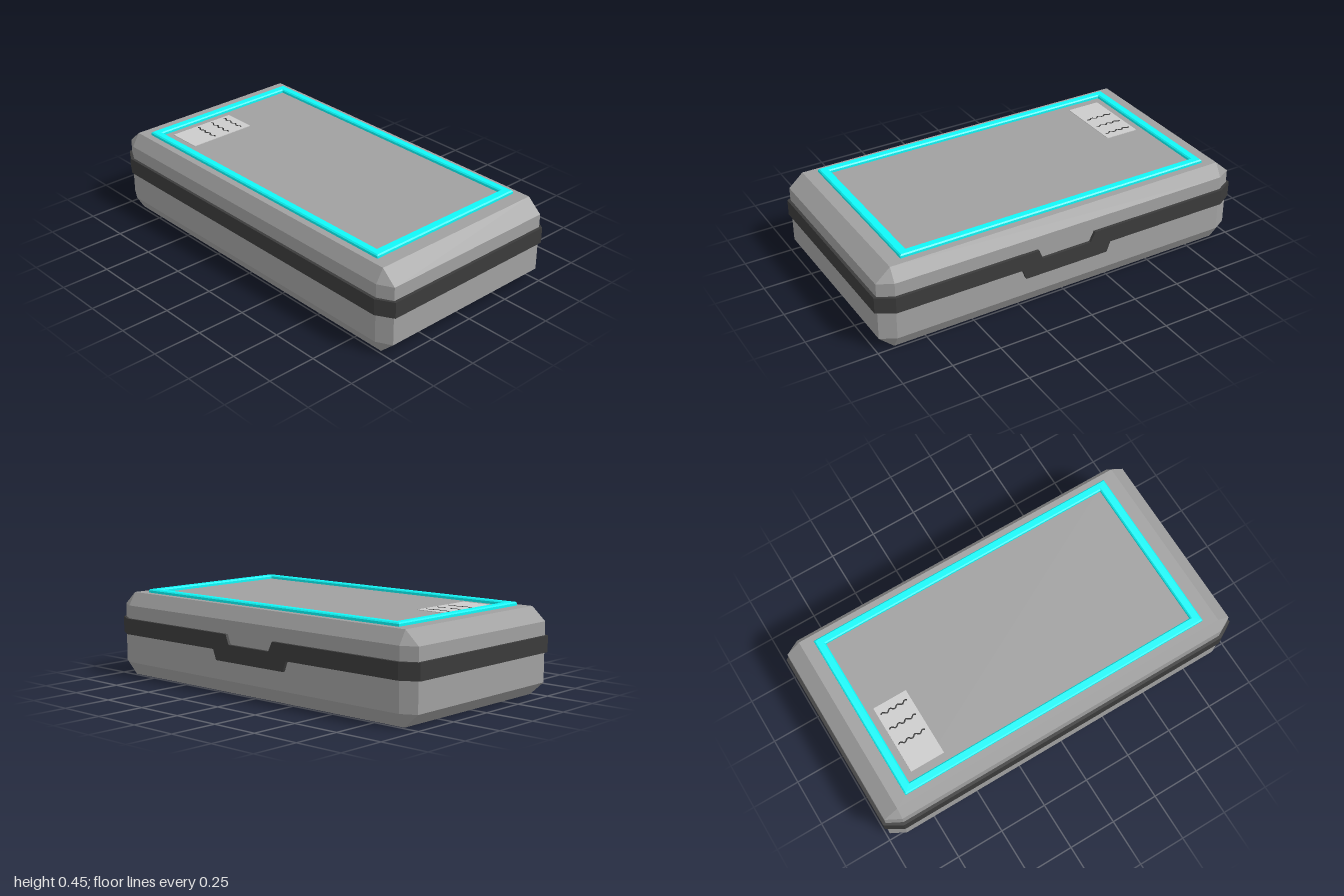
import * as THREE from 'three';
import { ConvexGeometry } from 'three/addons/geometries/ConvexGeometry.js';

const mat = (color) => new THREE.MeshStandardMaterial({ color });
const points = (list) => list.map(([x, y]) => new THREE.Vector2(x, y));

function rectangle(x, z0, z1) {
  // Drawn as (x, -z) so that it can be laid flat
  return points([[-x, -z1], [x, -z1], [x, -z0], [-x, -z0]]);
}

export function createModel() {
  const group = new THREE.Group();
  const bodyMat = mat(0xa0a0a0);
  const bandMat = mat(0x3b3b3b);
  const trimMat = mat(0x10f8f8);
  const labelMat = mat(0xc4c4c4);
  const markMat = mat(0x303030);

  const add = (name, geometry, material, x = 0, y = 0, z = 0) => {
    const mesh = new THREE.Mesh(geometry, material);
    mesh.name = name;
    mesh.position.set(x, y, z);
    group.add(mesh);
    return mesh;
  };

  // Case body: a box with every edge and corner chamfered
  const corners = [];
  for (const sx of [-1, 1]) for (const sz of [-1, 1]) {
    for (const [x, y, z] of [
      [0.485, 0, 0.91], [0.525, 0.068, 0.91], [0.485, 0.068, 0.985],
      [0.525, 0.368, 0.91], [0.485, 0.368, 0.985], [0.485, 0.435, 0.91],
    ]) corners.push(new THREE.Vector3(sx * x, y, sz * z));
  }
  add('caseBody', new ConvexGeometry(corners), bodyMat);

  // Seam band around the case, open on the right for the catch
  const half = [[0.54, 0.3], [0.54, 0.915], [0.49, 1], [-0.49, 1], [-0.54, 0.915]];
  const halfInner = [[0.51, 0.3], [0.51, 0.9], [0.47, 0.97], [-0.47, 0.97], [-0.51, 0.9]];
  const around = (pts) => [...pts, ...pts.map(([x, y]) => [x, -y]).reverse()];
  const bandShape = new THREE.Shape(points([...around(half), ...around(halfInner).reverse()]));
  const bandGeo = new THREE.ExtrudeGeometry(bandShape, { depth: 0.082, bevelEnabled: false });
  bandGeo.rotateX(-Math.PI / 2);
  add('seamBand', bandGeo, bandMat, 0, 0.218, 0);

  // Stepped catch, drawn in z and y, closing the band
  const catchShape = new THREE.Shape(points([
    [-0.3, 0.218], [-0.24, 0.218], [-0.22, 0.165], [0.235, 0.165], [0.255, 0.218], [0.3, 0.218],
    [0.3, 0.3], [0.165, 0.3], [0.145, 0.25], [-0.125, 0.25], [-0.15, 0.3], [-0.3, 0.3],
  ]));
  const catchGeo = new THREE.ExtrudeGeometry(catchShape, { depth: 0.03, bevelEnabled: false });
  catchGeo.rotateY(-Math.PI / 2);
  add('catch', catchGeo, bandMat, 0.54, 0, 0);

  // Bevelled trim frame on the lid
  const frame = new THREE.Shape(rectangle(0.45, -0.845, 0.84));
  frame.holes.push(new THREE.Path(rectangle(0.408, -0.8, 0.793).reverse()));
  const frameGeo = new THREE.ExtrudeGeometry(frame, {
    depth: 0.016, bevelThickness: 0.006, bevelSize: 0.006, bevelOffset: -0.006, bevelSegments: 1,
  });
  frameGeo.rotateX(-Math.PI / 2);
  add('trimFrame', frameGeo, trimMat, 0, 0.431, 0);

  // Lid label with wavy lines
  add('label', new THREE.BoxGeometry(0.365, 0.006, 0.18), labelMat, -0.183, 0.435, -0.675);
  const wave = [];
  for (let i = 0; i <= 28; i++) {
    wave.push(new THREE.Vector3(0.006 * Math.sin(i * Math.PI / 4), 0, (i / 28 - 0.5) * 0.145));
  }
  const waveGeo = new THREE.TubeGeometry(new THREE.CatmullRomCurve3(wave), 56, 0.004, 6);
  waveGeo.scale(1, 0.4, 1);
  for (const x of [-0.22, -0.133, -0.048]) add('labelLine', waveGeo, markMat, x, 0.438, -0.677);

  return group;
}
